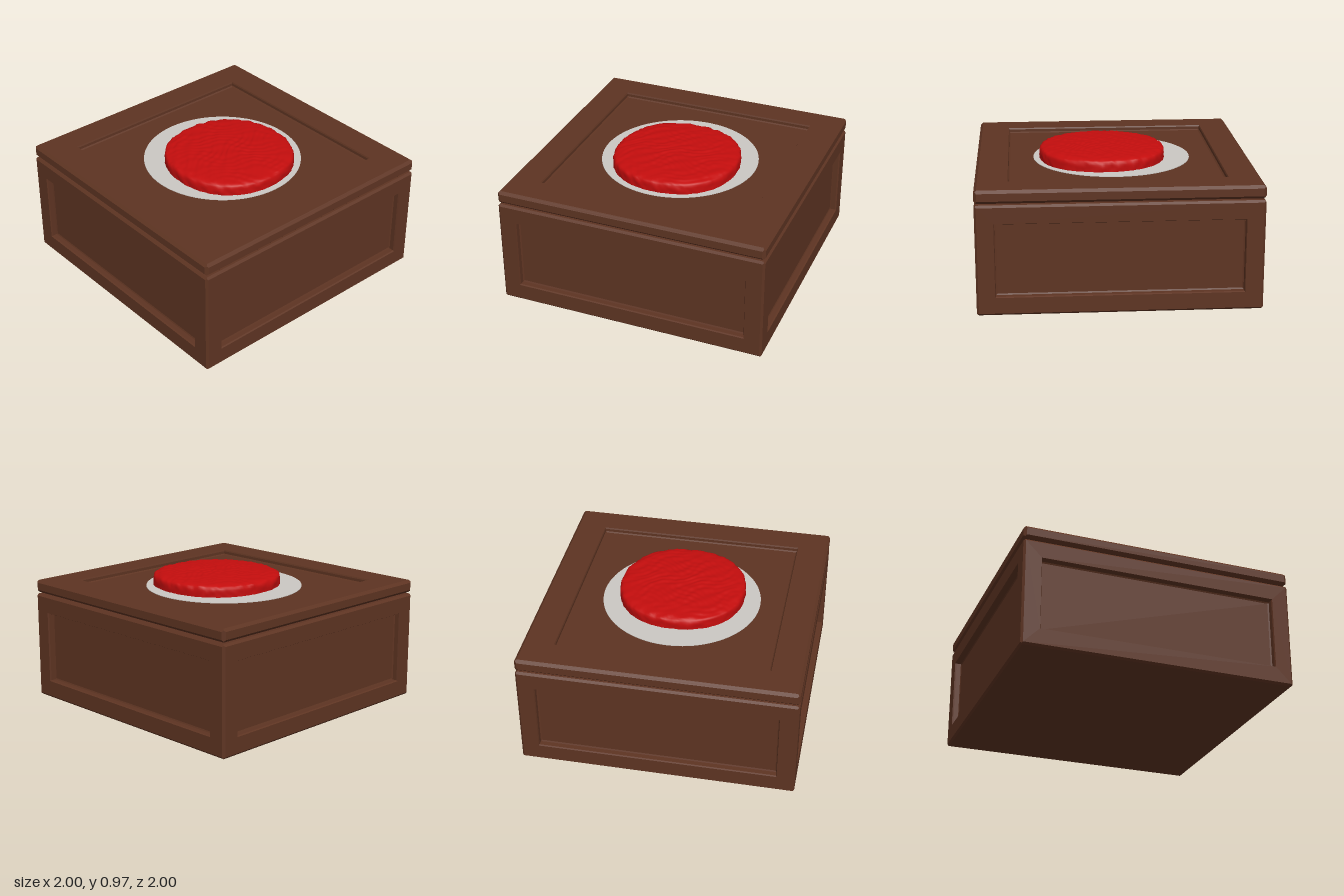
import * as THREE from 'three';
import { mergeGeometries, mergeVertices } from 'three/addons/utils/BufferGeometryUtils.js';

// One box side facing +z: nested rectangles [inset, depth], closed by a flat floor.
function sideFace(w, h, offset, rings) {
  const pos = [];
  const corners = rings.map(([i, d]) => {
    const x = w / 2 - i, y = h / 2 - i, z = offset - d;
    return [[-x, -y, z], [x, -y, z], [x, y, z], [-x, y, z]];
  });
  const quad = (a, b, c, d) => pos.push(...a, ...b, ...c, ...a, ...c, ...d);
  for (let r = 0; r < corners.length - 1; r++) {
    const o = corners[r], n = corners[r + 1];
    for (let k = 0; k < 4; k++) quad(o[k], o[(k + 1) % 4], n[(k + 1) % 4], n[k]);
  }
  quad(...corners[corners.length - 1]);
  const g = new THREE.BufferGeometry();
  g.setAttribute('position', new THREE.Float32BufferAttribute(pos, 3));
  return g;
}

// Chamfered box whose sides and top may carry sunken panels.
function panelledBox(w, h, d, bevel, sidePanel, topPanel) {
  const edge = [[bevel / 2, bevel / 2], [bevel, 0]];
  const faces = [];
  for (let k = 0; k < 4; k++) {
    const [fw, fd] = k % 2 ? [d, w] : [w, d];
    faces.push(sideFace(fw, h, fd / 2, [...edge, ...sidePanel]).rotateY(k * Math.PI / 2));
  }
  faces.push(sideFace(w, d, h / 2, [...edge, ...topPanel]).rotateX(-Math.PI / 2));
  faces.push(sideFace(w, d, h / 2, edge).rotateX(Math.PI / 2));
  const g = mergeGeometries(faces);
  g.computeVertexNormals();
  return g;
}

// Soft, slightly squared pad with a dimpled surface.
function cushionGeometry() {
  const outline = new THREE.CatmullRomCurve3([
    [0.455, 0.803], [0.467, 0.82], [0.47, 0.87], [0.47, 0.925], [0.462, 0.945],
    [0.435, 0.956], [0.36, 0.964], [0.2, 0.972], [0, 0.975],
  ].map(([r, y]) => new THREE.Vector3(r, y, 0)));
  const profile = [new THREE.Vector2(0, 0.803)];
  for (const p of outline.getSpacedPoints(50)) profile.push(new THREE.Vector2(Math.max(p.x, 0), p.y));
  let g = new THREE.LatheGeometry(profile, 128);
  const p = g.attributes.position;
  for (let i = 0; i < p.count; i++) {
    const x = p.getX(i), y = p.getY(i), z = p.getZ(i);
    const r = Math.hypot(x, z), a = Math.atan2(z, x);
    const wave = Math.sin(62 * x + 3 * Math.sin(17 * z)) * Math.sin(84 * z + 2.5 * Math.sin(21 * x + 40 * y))
      + 0.5 * Math.sin(47 * (x + z) + 60 * y);
    const side = 1 - 0.013 * Math.cos(4 * a) + 0.006 * wave * (r > 0.4 ? 1 : 0);
    p.setXYZ(i, x * side, y + (y > 0.93 ? 0.003 * wave : 0), z * side);
  }
  g.deleteAttribute('uv');
  g.deleteAttribute('normal');
  g = mergeVertices(g, 1e-5);
  g.computeVertexNormals();
  return g;
}

export function createModel() {
  const wood = new THREE.MeshStandardMaterial({ color: 0x5e3422 });
  wood.name = 'brown wood';
  const pale = new THREE.MeshStandardMaterial({ color: 0xcbc8c4 });
  pale.name = 'pale grey';
  const red = new THREE.MeshStandardMaterial({ color: 0xc40d0d });
  red.name = 'red';

  const model = new THREE.Group();
  model.name = 'buttonBox';
  const add = (name, geometry, material, x, y, z) => {
    const mesh = new THREE.Mesh(geometry, material);
    mesh.name = name;
    mesh.position.set(x, y, z);
    model.add(mesh);
  };

  // Base with a sunken panel on each side
  const basePanel = [[0.13, 0], [0.135, 0.01], [0.135, 0.045], [0.145, 0.05]];
  add('base', panelledBox(2, 0.795, 2, 0.015, basePanel, []), wood, 0, 0.4025, 0);

  // Lid, parted from the base by a narrow gap, with a sunken top
  const lidPanel = [[0.23, 0], [0.235, 0.01], [0.235, 0.03], [0.245, 0.037]];
  add('lid', panelledBox(2, 0.095, 2, 0.02, [], lidPanel), wood, 0, 0.8575, 0);

  // Pale disc lying on the lid's sunken floor
  add('disc', new THREE.CylinderGeometry(0.583, 0.583, 0.006, 96), pale, 0, 0.869, 0);

  // Red pad, set a little towards the front
  add('cushion', cushionGeometry(), red, 0.005, 0, 0.072);
  return model;
}
